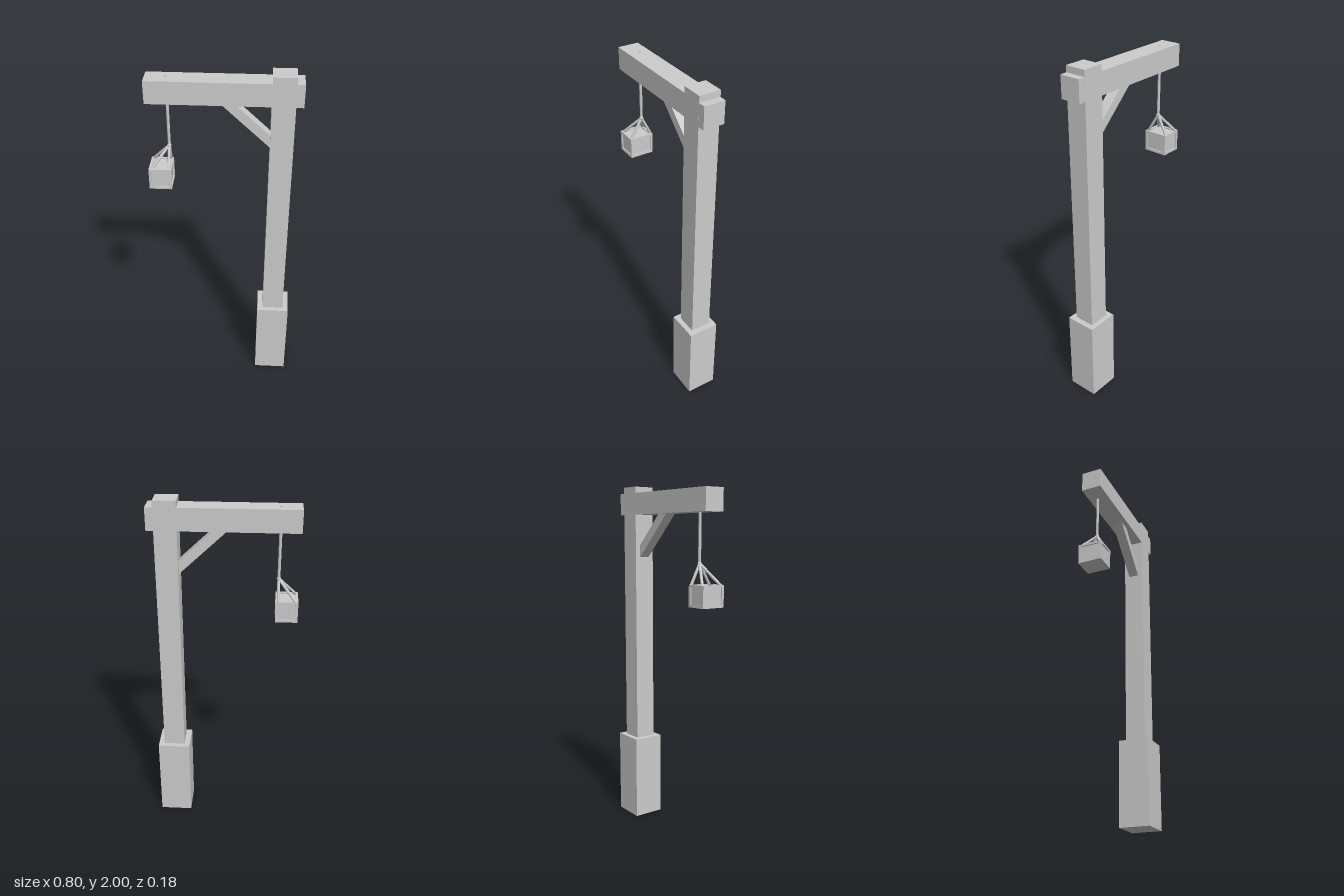
import * as THREE from 'three';

export function createModel() {
  const group = new THREE.Group();
  const mat = new THREE.MeshStandardMaterial({ color: 0xcccccc, flatShading: true });

  const add = (name, geo, parent = group) => {
    const mesh = new THREE.Mesh(geo, mat);
    mesh.name = name;
    parent.add(mesh);
    return mesh;
  };
  // Box given by its minimum and maximum on each axis
  const box = (name, [x0, x1], [y0, y1], [z0, z1], parent) =>
    add(name, new THREE.BoxGeometry(x1 - x0, y1 - y0, z1 - z0), parent)
      .position.set((x0 + x1) / 2, (y0 + y1) / 2, (z0 + z1) / 2);
  // Round rod between two points
  const rod = (name, a, b, r, parent) => {
    const dir = b.clone().sub(a);
    const mesh = add(name, new THREE.CylinderGeometry(r, r, dir.length(), 8), parent);
    mesh.position.copy(a).add(b).multiplyScalar(0.5);
    mesh.quaternion.setFromUnitVectors(new THREE.Vector3(0, 1, 0), dir.normalize());
  };

  // Post, its plinth and the crossing beam
  box('base', [0.208, 0.395], [0, 0.495], [-0.09, 0.09]);
  box('post', [0.24, 0.362], [0.495, 2], [-0.06, 0.06]);
  box('beam', [-0.402, 0.402], [1.842, 1.965], [-0.059, 0.059]);

  // Diagonal brace, cut flush against beam and post
  const braceShape = new THREE.Shape([
    new THREE.Vector2(-0.022, 1.842), new THREE.Vector2(0.24, 1.597),
    new THREE.Vector2(0.24, 1.667), new THREE.Vector2(0.052, 1.842),
  ]);
  add('brace', new THREE.ExtrudeGeometry(braceShape, { depth: 0.06, bevelEnabled: false }))
    .position.z = -0.03;

  // Hanging rope, its end showing above the beam
  const knot = new THREE.Vector3(-0.293, 1.575, -0.008);
  rod('rope', knot, new THREE.Vector3(-0.293, 1.969, -0.008), 0.008);

  // Crate: recessed panels inside a frame of twelve bars
  const crate = new THREE.Group();
  crate.name = 'crate';
  group.add(crate);
  const X = [-0.402, -0.28], Y = [1.345, 1.465], Z = [-0.07, 0.07], t = 0.014;
  const inset = ([a, b], d) => [a + d, b - d];
  const ends = ([a, b]) => [[a, a + t], [b - t, b]];
  box('cratePanels', inset(X, 0.007), [Y[0], Y[1] - 0.007], inset(Z, 0.007), crate);
  for (const x of ends(X)) for (const z of ends(Z)) box('cratePost', x, Y, z, crate);
  for (const y of ends(Y)) {
    for (const z of ends(Z)) box('crateRailX', inset(X, t), y, z, crate);
    for (const x of ends(X)) box('crateRailZ', x, y, inset(Z, t), crate);
  }

  // Four sling ropes from the crate corners to the knot
  for (const x of [-0.39, -0.294]) for (const z of [-0.066, 0.06])
    rod('slingRope', new THREE.Vector3(x, 1.46, z), knot, 0.008, crate);
  const knotMesh = add('knot', new THREE.SphereGeometry(0.012, 8, 6), crate);
  knotMesh.position.copy(knot);

  return group;
}
